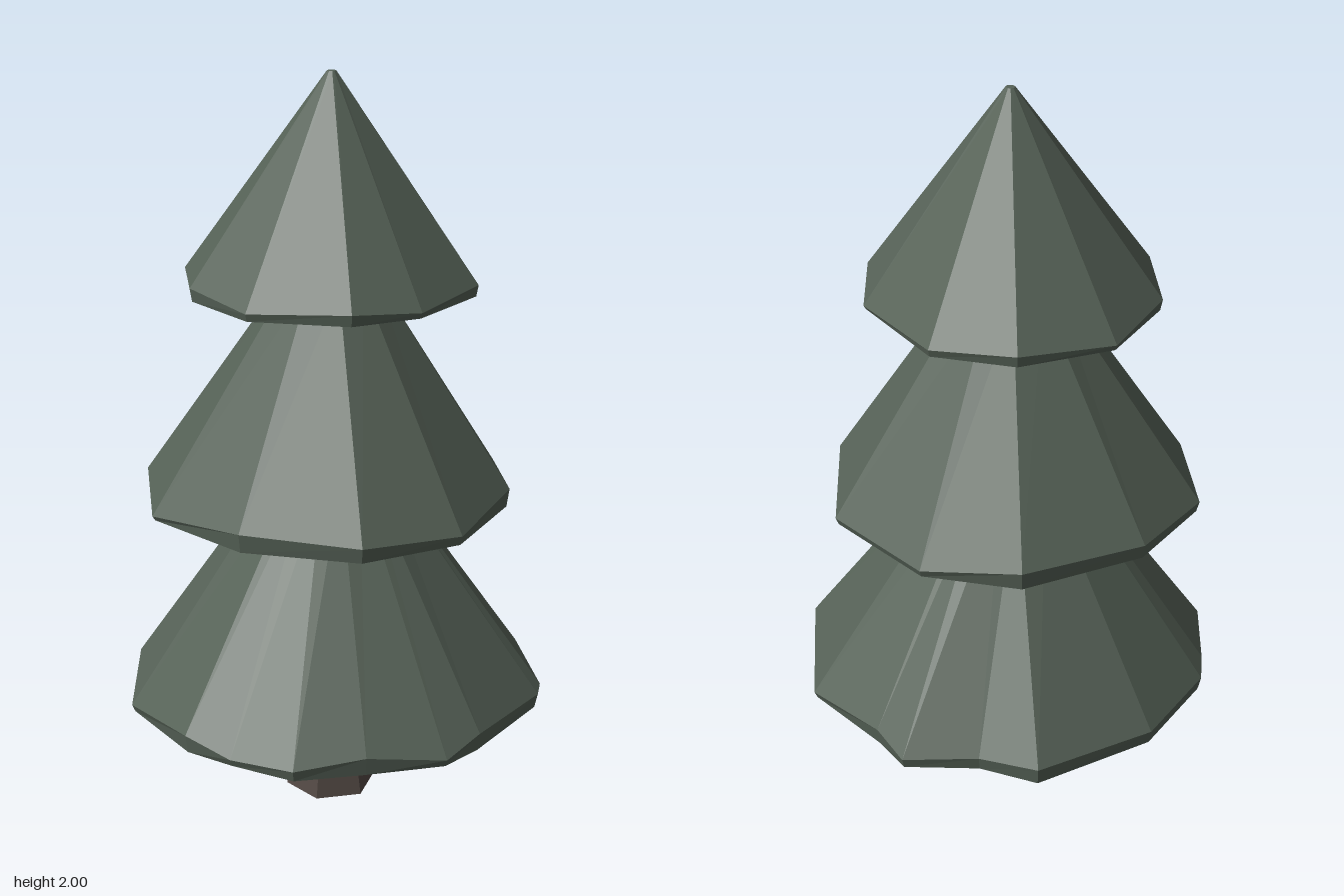
import * as THREE from 'three';

// Skins a stack of equal-length rings (each a list of [x, y, z]) and caps both ends
function loft(rings) {
  const pos = [];
  const tri = (...corners) => corners.forEach((c) => pos.push(...c));
  const centre = (ring, dy = 0) => [0, ring.reduce((s, p) => s + p[1], 0) / ring.length + dy, 0];
  const n = rings[0].length;
  const bottom = rings[0], top = rings[rings.length - 1];
  for (let i = 0; i < n; i++) {
    const j = (i + 1) % n;
    for (let k = 0; k < rings.length - 1; k++) {
      const lo = rings[k], up = rings[k + 1];
      tri(lo[i], up[i], lo[j]);
      tri(lo[j], up[i], up[j]);
    }
    tri(centre(bottom), bottom[i], bottom[j]);
    tri(centre(top), top[j], top[i]);
  }
  const geometry = new THREE.BufferGeometry();
  geometry.setAttribute('position', new THREE.Float32BufferAttribute(pos, 3));
  geometry.computeVertexNormals();
  return geometry;
}

// Rim outlines: [x, z, height of the chipped edge], running from back through +x
const tiers = [
  {
    name: 'lowerBranches', base: 0.3, top: 0.95, topRadius: 0.14,
    rim: [
      [-0.21, -0.55, 0.03], [-0.09, -0.54, 0.05], [0.18, -0.555, 0.02], [0.46, -0.35, 0.05],
      [0.485, -0.315, 0.04], [0.55, -0.02, 0.05], [0.555, 0.105, 0.02], [0.45, 0.29, 0.05],
      [0.35, 0.45, 0.03], [0.18, 0.515, 0.02], [0.045, 0.553, 0.05], [-0.235, 0.515, 0.02],
      [-0.43, 0.335, 0.06], [-0.48, 0.285, 0.04], [-0.558, 0.02, 0.04], [-0.49, -0.32, 0.05],
      [-0.345, -0.4, 0.04],
    ],
  },
  {
    name: 'middleBranches', base: 0.865, top: 1.47, topRadius: 0.12,
    rim: [
      [-0.19, -0.46, 0.02], [0.14, -0.48, 0.02], [0.385, -0.285, 0.05], [0.49, 0, 0.025],
      [0.41, 0.27, 0.04], [0.15, 0.45, 0.05], [-0.17, 0.475, 0.012], [-0.43, 0.29, 0.03],
      [-0.495, 0.03, 0.04], [-0.4, -0.3, 0.05],
    ],
  },
  {
    name: 'topBranches', base: 1.442, top: 2, topRadius: 0.012,
    rim: [
      [-0.13, -0.37, 0.02], [0.17, -0.34, 0.01], [0.325, -0.21, 0.03], [0.375, 0.04, 0.015],
      [0.315, 0.22, 0.03], [0.105, 0.38, 0.02], [-0.13, 0.365, 0.035], [-0.32, 0.23, 0.03],
      [-0.4, 0, 0.015], [-0.31, -0.24, 0.03],
    ],
  },
];

function branchTier({ name, base, top, topRadius, rim }, material) {
  const rings = [
    rim.map(([x, z]) => [x * 0.985, base, z * 0.985]),
    rim.map(([x, z, h]) => [x, base + h, z]),
    rim.map(([x, z]) => {
      const s = topRadius / Math.hypot(x, z);
      return [x * s, top, z * s];
    }),
  ];
  // Shallow sag under the tier
  rings.unshift(rim.map(([x, z]) => [x * 0.4, base - (base > 0.5 ? 0.015 : 0), z * 0.4]));
  const mesh = new THREE.Mesh(loft(rings), material);
  mesh.name = name;
  return mesh;
}

// Six-sided trunk flaring at the foot
function trunk(material) {
  const ring = (y, r, shift) => Array.from({ length: 6 }, (_, i) => {
    const a = (i * Math.PI) / 3;
    return [Math.cos(a) * r + shift, y, Math.sin(a) * r];
  });
  const mesh = new THREE.Mesh(
    loft([ring(0, 0.125, -0.005), ring(0.14, 0.1, -0.003), ring(0.36, 0.082, -0.004)]), material);
  mesh.name = 'trunk';
  return mesh;
}

export function createModel() {
  const tree = new THREE.Group();
  tree.name = 'tree';
  const needles = new THREE.MeshStandardMaterial({ color: 0x566257, flatShading: true });
  const bark = new THREE.MeshStandardMaterial({ color: 0x544a45, flatShading: true });
  tree.add(trunk(bark));
  tiers.forEach((tier) => tree.add(branchTier(tier, needles)));
  return tree;
}
